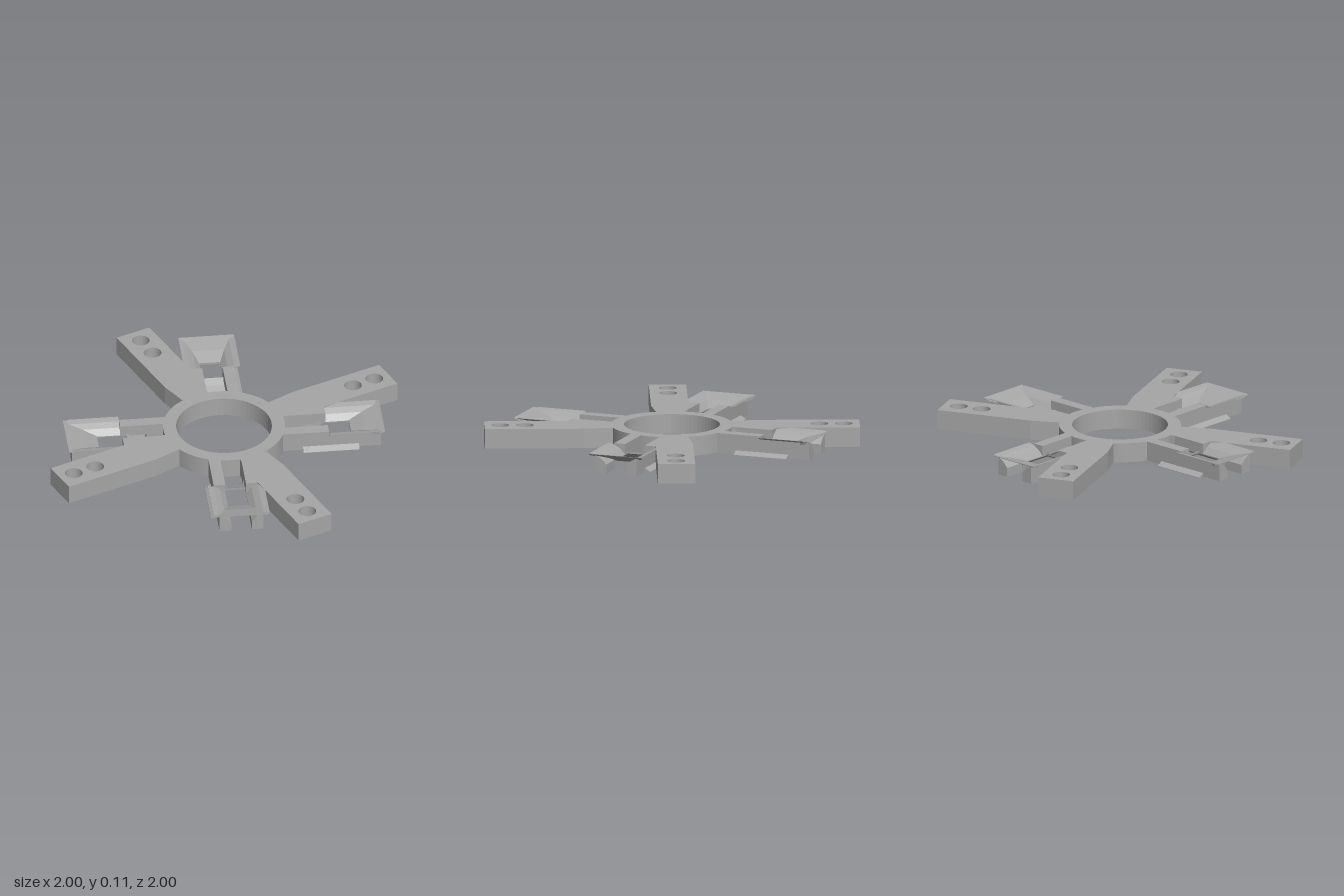
import * as THREE from 'three';

const H = 0.106; // overall thickness

// Solid with a v-y outline, swept along the radial axis from u0 to u1
function sweep(points, u0, u1, side) {
  const shape = new THREE.Shape(points.map(([v, y]) => new THREE.Vector2(-v * side, y)));
  const geo = new THREE.ExtrudeGeometry(shape, { depth: u1 - u0, bevelEnabled: false });
  return geo.rotateY(Math.PI / 2).translate(u0, 0, 0);
}

// Tapered sheet; sections run from outer to inner: [u, top, bottom, halfWidth]
function sheet(sections) {
  const rings = sections.map(([u, top, bottom, w]) => [[u, top, -w], [u, top, w], [u, bottom, w], [u, bottom, -w]]);
  const pos = [];
  const quad = (a, b, c, d) => pos.push(...a, ...b, ...c, ...a, ...c, ...d);
  for (let i = 0; i < rings.length - 1; i++) {
    for (let j = 0; j < 4; j++) {
      const k = (j + 1) % 4;
      quad(rings[i][j], rings[i + 1][j], rings[i + 1][k], rings[i][k]);
    }
  }
  quad(...rings[0]);
  quad(...[...rings[rings.length - 1]].reverse());
  const geo = new THREE.BufferGeometry();
  geo.setAttribute('position', new THREE.Float32BufferAttribute(pos, 3));
  geo.computeVertexNormals();
  return geo;
}

// Ring with four drilled arms
function hubGeometry() {
  const shape = new THREE.Shape();
  const rOut = 0.325, half = Math.asin(0.078 / rOut);
  for (let k = 0; k < 4; k++) {
    const a = k * Math.PI / 2, c = Math.cos(a), s = Math.sin(a);
    const arm = [[0.316, -0.078], [0.47, -0.1], [1, -0.1], [1, 0.1], [0.47, 0.1], [0.316, 0.078]];
    arm.forEach(([x, y], i) => {
      const px = x * c - y * s, py = x * s + y * c;
      if (k === 0 && i === 0) shape.moveTo(px, py);
      else shape.lineTo(px, py);
    });
    shape.absarc(0, 0, rOut, a + half, a + Math.PI / 2 - half, false);
    for (const r of [0.785, 0.915]) {
      shape.holes.push(new THREE.Path().absarc(r * c, r * s, 0.047, 0, Math.PI * 2, true));
    }
  }
  shape.holes.push(new THREE.Path().absarc(0, 0, 0.255, 0, Math.PI * 2, true));
  return new THREE.ExtrudeGeometry(shape, { depth: H, bevelEnabled: false, curveSegments: 32 }).rotateX(-Math.PI / 2);
}

export function createModel() {
  const model = new THREE.Group();
  model.name = 'crossPlate';
  const grey = new THREE.MeshStandardMaterial({ color: 0xa6a6a6 });
  grey.name = 'grey';
  const add = (parent, name, geo) => {
    const mesh = new THREE.Mesh(geo, grey);
    mesh.name = name;
    parent.add(mesh);
  };

  add(model, 'hubAndArms', hubGeometry());

  // Rail outline pieces: plain or flared at top and bottom
  const flatTop = [[0.118, H], [0.055, H]];
  const flareTop = [[0.118, 0.09], [0.15, H - 0.002], [0.15, H], [0.118, 0.098], [0.085, 0.08], [0.055, 0.05]];
  const flatBottom = [[0.055, 0], [0.118, 0]];
  const flareBottom = [[0.055, 0.045], [0.085, 0.025], [0.118, 0.008], [0.15, 0], [0.15, 0.002], [0.118, 0.02]];
  const spans = [
    [0.3, 0.41, flatBottom, flatTop],
    [0.41, 0.55, flareBottom, flatTop],
    [0.55, 0.71, flareBottom, flareTop],
    [0.71, 0.828, flatBottom, flareTop],
  ];

  // Four slotted guides, each turned an eighth of a right-angle pair from its arm
  for (let k = 0; k < 4; k++) {
    const guide = new THREE.Group();
    guide.name = 'slottedGuide';
    for (const side of [1, -1]) {
      for (const [u0, u1, bottom, top] of spans) {
        add(guide, side > 0 ? 'leftRail' : 'rightRail', sweep([...bottom, ...top], u0, u1, side));
      }
    }
    add(guide, 'upperRamp', sheet([
      [0.847, H, H - 0.002, 0.15], [0.82, 0.099, 0.091, 0.148],
      [0.75, 0.081, 0.069, 0.1], [0.675, 0.052, 0.04, 0.065],
    ]));
    add(guide, 'lowerRamp', sheet([
      [0.52, 0.06, 0.048, 0.065], [0.48, 0.037, 0.025, 0.09],
      [0.44, 0.018, 0.008, 0.125], [0.409, 0.002, 0, 0.15],
    ]));
    guide.rotation.y = -Math.PI / 8 + k * Math.PI / 2;
    model.add(guide);
  }
  return model;
}
